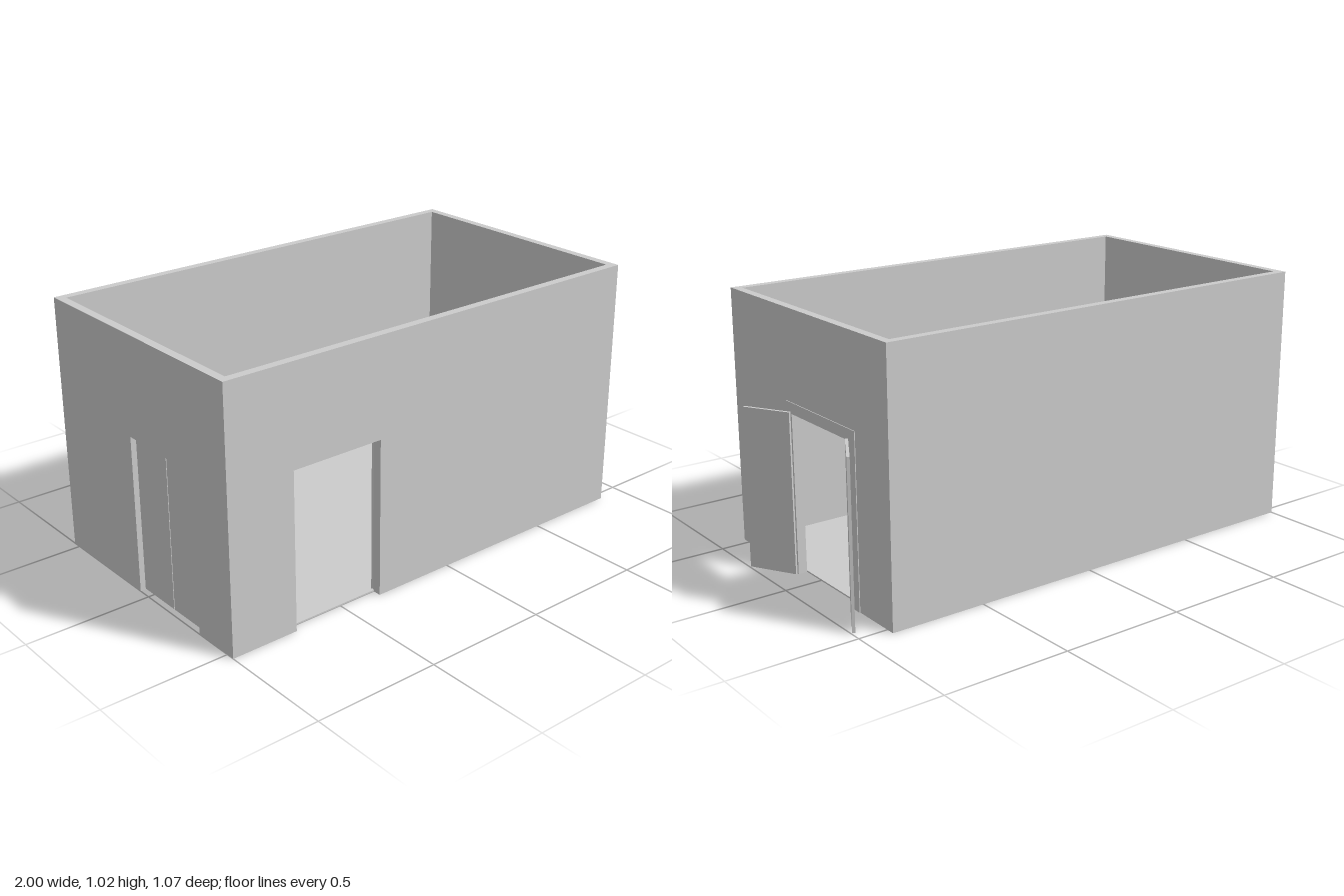
import * as THREE from 'three';

const material = new THREE.MeshStandardMaterial({ color: 0xcccccc, side: THREE.DoubleSide });
const X0 = -1, X1 = 0.885, Z = 0.535, H = 1.02, T = 0.033;
const midX = (X0 + X1) / 2, W = X1 - X0;

// Upright panel of given width and height, notched from the ground up; spans z = 0..depth
function panel(name, width, height, depth, notchX, notchHalf, notchTop) {
  const points = [[-width / 2, 0]];
  if (notchHalf) {
    points.push([notchX - notchHalf, 0], [notchX - notchHalf, notchTop],
      [notchX + notchHalf, notchTop], [notchX + notchHalf, 0]);
  }
  points.push([width / 2, 0], [width / 2, height], [-width / 2, height]);
  const shape = new THREE.Shape(points.map(([x, y]) => new THREE.Vector2(x, y)));
  const mesh = new THREE.Mesh(new THREE.ExtrudeGeometry(shape, { depth, bevelEnabled: false }), material);
  mesh.name = name;
  return mesh;
}

function box(name, w, h, d, x, y, z) {
  const mesh = new THREE.Mesh(new THREE.BoxGeometry(w, h, d), material);
  mesh.name = name;
  mesh.position.set(x, y, z);
  return mesh;
}

// Double door; local z = 0 is the wall face on which the leaves hang, +z is the swing side
function doorway(name, x, z, turn, swing) {
  const group = new THREE.Group();
  group.name = name;
  const lining = panel('doorLining', 0.41, 0.64, T, 0, 0.193, 0.627);
  lining.position.z = -T;
  group.add(lining, panel('doorTrim', 0.47, 0.67, 0.003, 0, 0.193, 0.627));
  for (const s of [-1, 1]) {
    const hinge = new THREE.Group();
    hinge.name = s < 0 ? 'doorLeafA' : 'doorLeafB';
    hinge.position.set(s * 0.198, 0, swing ? 0.005 : 0);
    hinge.rotation.y = s * swing;
    hinge.add(box('doorPanel', 0.196, 0.632, 0.011, -s * 0.098, 0.319, -0.0055));
    group.add(hinge);
  }
  group.position.set(x, 0, z);
  group.rotation.y = turn;
  return group;
}

export function createModel() {
  const model = new THREE.Group();
  model.name = 'room';
  const frontDoorX = -0.533, rightDoorZ = -0.092, leftDoorZ = 0.14;

  // Floor inside the walls
  model.add(box('floor', W - 2 * T, 0.006, 2 * (Z - T), midX, 0.003, 0));

  // Long walls
  const front = panel('frontWall', W, H, T, frontDoorX - midX, 0.205, 0.64);
  front.position.set(midX, 0, Z - T);
  const back = panel('backWall', W, H, T);
  back.position.set(midX, 0, -Z);
  model.add(front, back);

  // End walls between the long walls; local x runs towards -z
  const ends = [['plusXWall', X1 - T, rightDoorZ], ['minusXWall', X0, leftDoorZ]];
  for (const [name, x, doorZ] of ends) {
    const wall = panel(name, 2 * (Z - T), H, T, -doorZ, 0.205, 0.64);
    wall.rotation.y = Math.PI / 2;
    wall.position.x = x;
    model.add(wall);
  }

  // Doors: front opens inward, one end opens outward, the other is shut
  const open = THREE.MathUtils.degToRad(150);
  model.add(
    doorway('frontDoor', frontDoorX, Z - T, Math.PI, open),
    doorway('outwardDoor', X1, rightDoorZ, Math.PI / 2, open),
    doorway('closedDoor', X0 + T, leftDoorZ, Math.PI / 2, 0)
  );
  return model;
}
